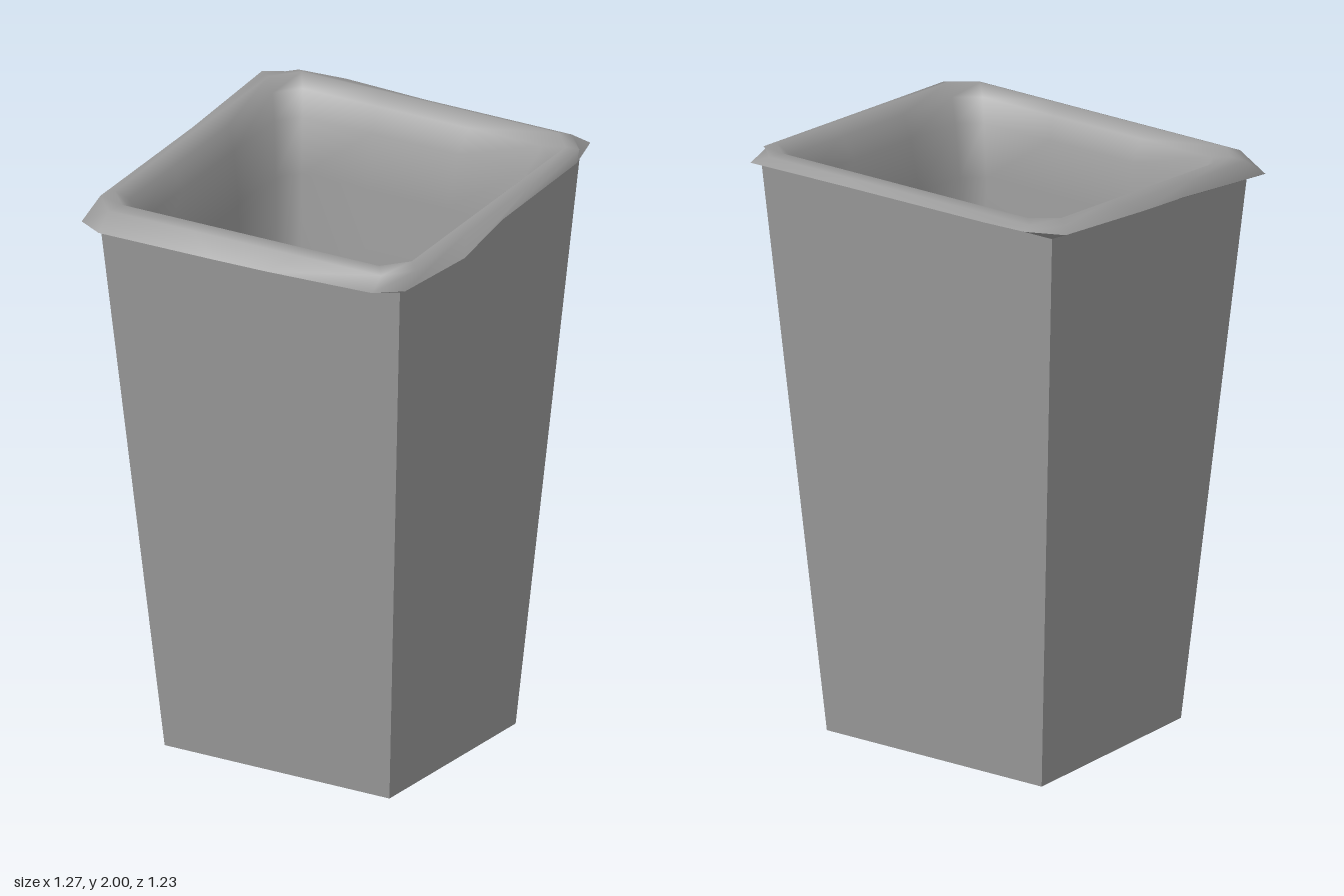
import * as THREE from 'three';
import { toCreasedNormals } from 'three/addons/utils/BufferGeometryUtils.js';

// Skin a list of equal-length point loops; a one-point loop closes an end.
function loft(rings, crease) {
  const pos = [];
  const n = Math.max(...rings.map((r) => r.length));
  const at = (ring, i) => ring[i % ring.length];
  for (let k = 0; k < rings.length - 1; k++) {
    const lo = rings[k], hi = rings[k + 1];
    for (let i = 0; i < n; i++) {
      const a = at(lo, i), b = at(lo, i + 1), c = at(hi, i + 1), d = at(hi, i);
      if (lo.length > 1) pos.push(...a, ...d, ...b);
      if (hi.length > 1) pos.push(...b, ...d, ...c);
    }
  }
  const geo = new THREE.BufferGeometry();
  geo.setAttribute('position', new THREE.Float32BufferAttribute(pos, 3));
  return toCreasedNormals(geo, crease);
}

// Sixteen-point rectangle with cut corners; height is a function of z.
function loop(x0, x1, z0, z1, cut, height) {
  const mx = (x1 - x0) / 3, mz = (z1 - z0) / 3;
  return [
    [x0, z0 + cut], [x0 + cut, z0], [x0 + mx, z0], [x1 - mx, z0],
    [x1 - cut, z0], [x1, z0 + cut], [x1, z0 + mz], [x1, z1 - mz],
    [x1, z1 - cut], [x1 - cut, z1], [x1 - mx, z1], [x0 + mx, z1],
    [x0 + cut, z1], [x0, z1 - cut], [x0, z1 - mz], [x0, z0 + mz],
  ].map(([x, z]) => [x, height(z), z]);
}

export function createModel() {
  const group = new THREE.Group();
  const add = (name, geo) => {
    const material = new THREE.MeshStandardMaterial({ color: 0x999999, side: THREE.DoubleSide });
    const mesh = new THREE.Mesh(geo, material);
    mesh.name = name;
    group.add(mesh);
  };

  // Tapered bin with a rim that rises towards the back
  add('bin', loft([
    [[-0.02, 0, -0.03]],
    [[-0.445, 0, -0.403], [0.403, 0, -0.403], [0.403, 0, 0.35], [-0.445, 0, 0.35]],
    [[-0.592, 1.95, -0.548], [0.555, 1.95, -0.548], [0.547, 1.83, 0.515], [-0.585, 1.83, 0.515]],
  ], 0.3));

  const rim = (z) => 1.888 - 0.114 * z;
  const crest = (drop) => (z) => 1.953 - 0.085 * z - drop;
  const flat = (y) => () => y;

  // Irregular hem of the liner bag hanging over the rim
  const hem = [
    [-0.64, 1.972, -0.54], [-0.52, 1.975, -0.60], [-0.37, 1.978, -0.615], [0.20, 1.97, -0.603],
    [0.56, 1.965, -0.60], [0.61, 1.96, -0.44], [0.61, 1.918, 0], [0.635, 1.882, 0.27],
    [0.57, 1.84, 0.52], [0.49, 1.84, 0.59], [0.10, 1.835, 0.605], [-0.10, 1.835, 0.61],
    [-0.53, 1.833, 0.61], [-0.625, 1.835, 0.56], [-0.635, 1.90, 0.10], [-0.637, 1.92, -0.10],
  ];
  add('bagUnderside', loft([loop(-0.59, 0.555, -0.548, 0.516, 0.01, rim), hem], 0.5));

  // Softly rounded fold running from the hem down the inside of the bin
  const ledge = loop(-0.44, 0.38, -0.37, 0.38, 0.06, flat(0.50));
  add('bagFold', loft([
    hem,
    loop(-0.605, 0.585, -0.575, 0.56, 0.08, crest(0.012)),
    loop(-0.57, 0.55, -0.545, 0.525, 0.075, crest(0)),
    loop(-0.535, 0.51, -0.505, 0.49, 0.07, crest(0.035)),
    loop(-0.505, 0.475, -0.465, 0.455, 0.065, crest(0.11)),
    loop(-0.475, 0.435, -0.42, 0.42, 0.06, crest(0.28)),
    ledge,
  ], Math.PI));

  // Sloped ledge and shallow pan at the bottom of the bag
  const step = loop(-0.422, 0.365, -0.35, 0.363, 0.056, flat(0.47));
  const floor = loop(-0.405, 0.34, -0.33, 0.345, 0.053, flat(0.10));
  add('bagLedge', loft([ledge, step], 0.5));
  add('bagBottom', loft([step, floor, [[-0.03, 0.10, 0]]], 0.5));

  return group;
}
